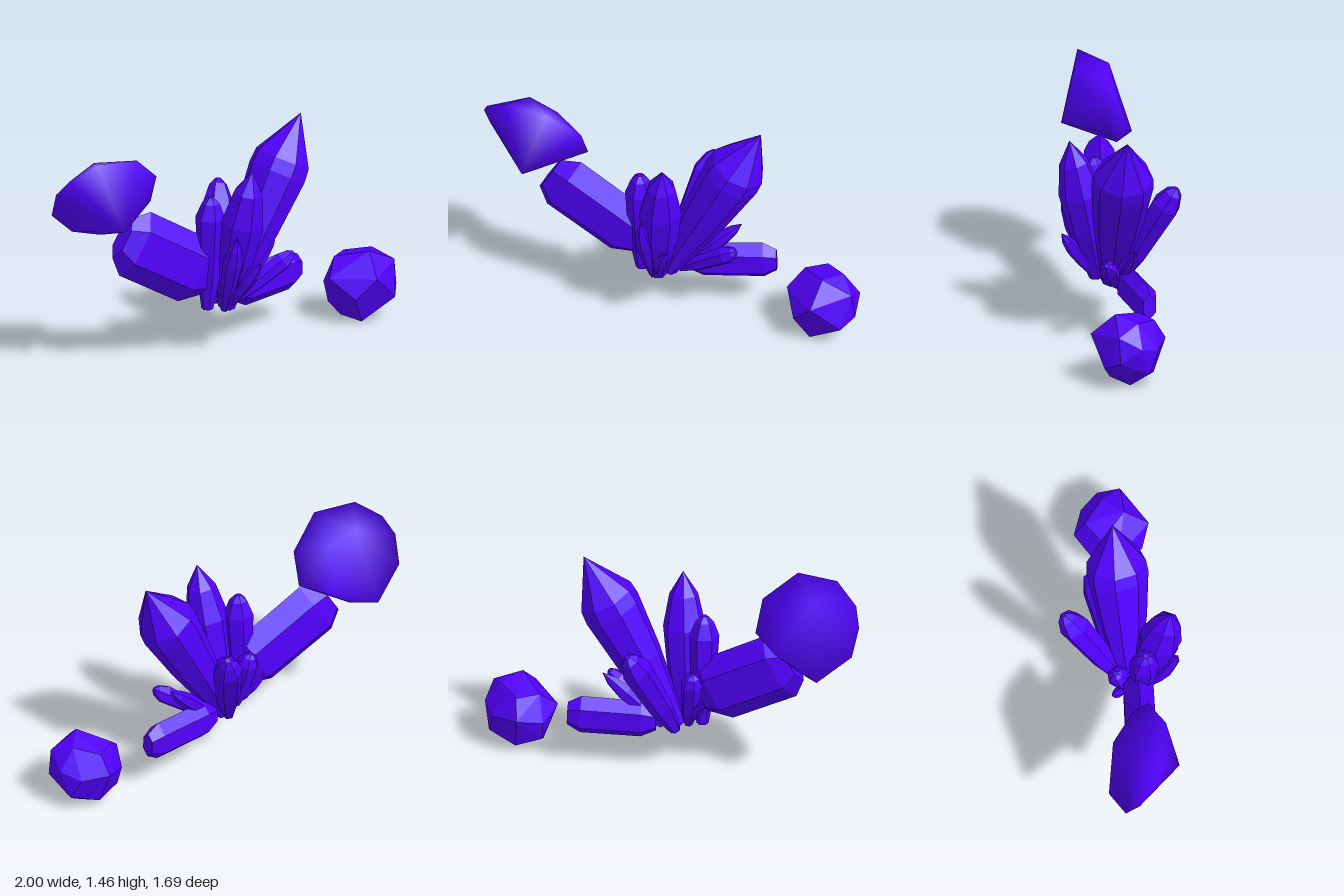
import * as THREE from 'three';
import { ConvexGeometry } from 'three/addons/geometries/ConvexGeometry.js';
import { mergeVertices } from 'three/addons/utils/BufferGeometryUtils.js';

const flatMat = new THREE.MeshStandardMaterial({ color: 0x5200ff, flatShading: true });
const smoothMat = new THREE.MeshStandardMaterial({ color: 0x5200ff });
const vec = (p) => new THREE.Vector3(...p);

// Profiles: [position along the axis, share of the radius]
const POINTED = [[0, 0.35], [0.4, 0.8], [0.69, 1], [0.76, 0.96], [1, 0]];
const SLENDER = [[0, 0.4], [0.35, 0.86], [0.62, 1], [0.84, 0.68], [1, 0]];
const BLUNT = [[0, 0.4], [0.3, 0.8], [0.82, 1], [0.95, 0.6], [1, 0.2]];
const BLOCK = [[0, 0.58], [0.17, 0.98], [0.85, 1], [1, 0.62]];

// Faceted crystal from base to tip; squash narrows it sideways
function crystal(name, base, tip, radius, profile, sides = 6, squash = 1, roll = 0) {
  const a = vec(base), b = vec(tip);
  const dir = b.clone().sub(a).normalize();
  const side = new THREE.Vector3(0, 1, 0).cross(dir).normalize();
  const up = dir.clone().cross(side);
  const pts = [];
  for (const [t, share] of profile) {
    const centre = a.clone().lerp(b, t);
    if (share === 0) { pts.push(centre); continue; }
    for (let i = 0; i < sides; i++) {
      const ang = roll + (i / sides) * Math.PI * 2;
      const r = radius * share;
      pts.push(centre.clone()
        .addScaledVector(up, Math.cos(ang) * r)
        .addScaledVector(side, Math.sin(ang) * r * squash));
    }
  }
  const mesh = new THREE.Mesh(new ConvexGeometry(pts), flatMat);
  mesh.name = name;
  return mesh;
}

// Loose stone as the hull of a few corners
function stone(name, corners, smooth) {
  let geo = new ConvexGeometry(corners.map(vec));
  if (smooth) {
    geo.deleteAttribute('normal');
    geo = mergeVertices(geo, 1e-4);
    geo.computeVertexNormals();
  }
  const mesh = new THREE.Mesh(geo, smooth ? smoothMat : flatMat);
  mesh.name = name;
  return mesh;
}

export function createModel() {
  const model = new THREE.Group();
  model.name = 'crystalCluster';

  // Tall crystals
  model.add(
    crystal('mainCrystal', [0.005, 0.29, 0.05], [0.43, 1.44, -0.375], 0.19, POINTED, 8, 1.04, 0.2),
    crystal('secondCrystal', [0.03, 0.3, 0.14], [0.21, 1.255, 0.23], 0.138, SLENDER, 7, 1, 0.1),
    crystal('thirdCrystal', [-0.085, 0.3, 0.19], [-0.055, 1.06, 0.225], 0.095, BLUNT, 6, 1, 0.2),
    crystal('backCrystal', [-0.03, 0.28, 0.02], [-0.1, 0.97, -0.38], 0.098, BLUNT, 6, 0.98, 0.3),
  );

  // Blocky slabs on both flanks
  model.add(
    crystal('rightSlab', [-0.08, 0.51, 0.18], [-0.575, 0.88, 0.56], 0.225, BLOCK, 6, 0.5),
    crystal('leftSlab', [0.05, 0.335, -0.07], [0.39, 0.355, -0.52], 0.133, BLOCK, 6, 0.58),
  );

  // Small crystals around the foot
  model.add(
    crystal('frontShard', [0.02, 0.29, 0.17], [0.13, 0.84, 0.345], 0.062, SLENDER, 6),
    crystal('frontSpike', [0.03, 0.29, 0.15], [0.27, 0.64, 0.25], 0.05, SLENDER, 5),
    crystal('leftShard', [0.05, 0.28, -0.02], [0.41, 0.565, -0.2], 0.062, BLUNT, 6),
    crystal('leftSpike', [0.04, 0.29, -0.03], [0.28, 0.65, -0.33], 0.055, SLENDER, 6),
    crystal('rightShard', [-0.06, 0.31, 0.1], [-0.165, 0.73, 0.065], 0.072, BLUNT, 6),
    crystal('rightSpike', [-0.05, 0.31, 0.1], [-0.25, 0.56, 0.1], 0.035, SLENDER, 5),
  );

  // Loose stones
  model.add(
    stone('upperStone', [
      [-0.7, 1.455, 0.81], [-0.465, 1.445, 0.665], [-0.37, 1.27, 0.46], [-0.87, 1.345, 0.845],
      [-0.96, 1.24, 0.81], [-1, 1.07, 0.73], [-0.9, 0.895, 0.53], [-0.72, 0.88, 0.52],
      [-0.42, 1.07, 0.375], [-0.64, 1.02, 0.38], [-0.52, 1.01, 0.81], [-0.6, 1.32, 0.49],
      [-0.75, 1.39, 0.6],
    ], true),
    stone('lowerStone', [
      [0.84, 0.46, -0.57], [0.83, 0.43, -0.74], [0.61, 0.405, -0.59], [0.65, 0.4, -0.74],
      [0.755, 0.25, -0.845], [0.895, 0.29, -0.82], [0.585, 0.27, -0.78], [0.98, 0.37, -0.7],
      [1, 0.15, -0.6], [0.99, 0.2, -0.72], [0.91, 0.32, -0.43], [0.78, 0.19, -0.39],
      [0.6, 0.3, -0.46], [0.54, 0.23, -0.61], [0.83, 0, -0.68], [0.8, 0.01, -0.5],
      [0.66, 0.04, -0.53], [0.66, 0.05, -0.74], [0.57, 0.1, -0.6], [0.83, 0.11, -0.83],
    ], false),
  );
  return model;
}
